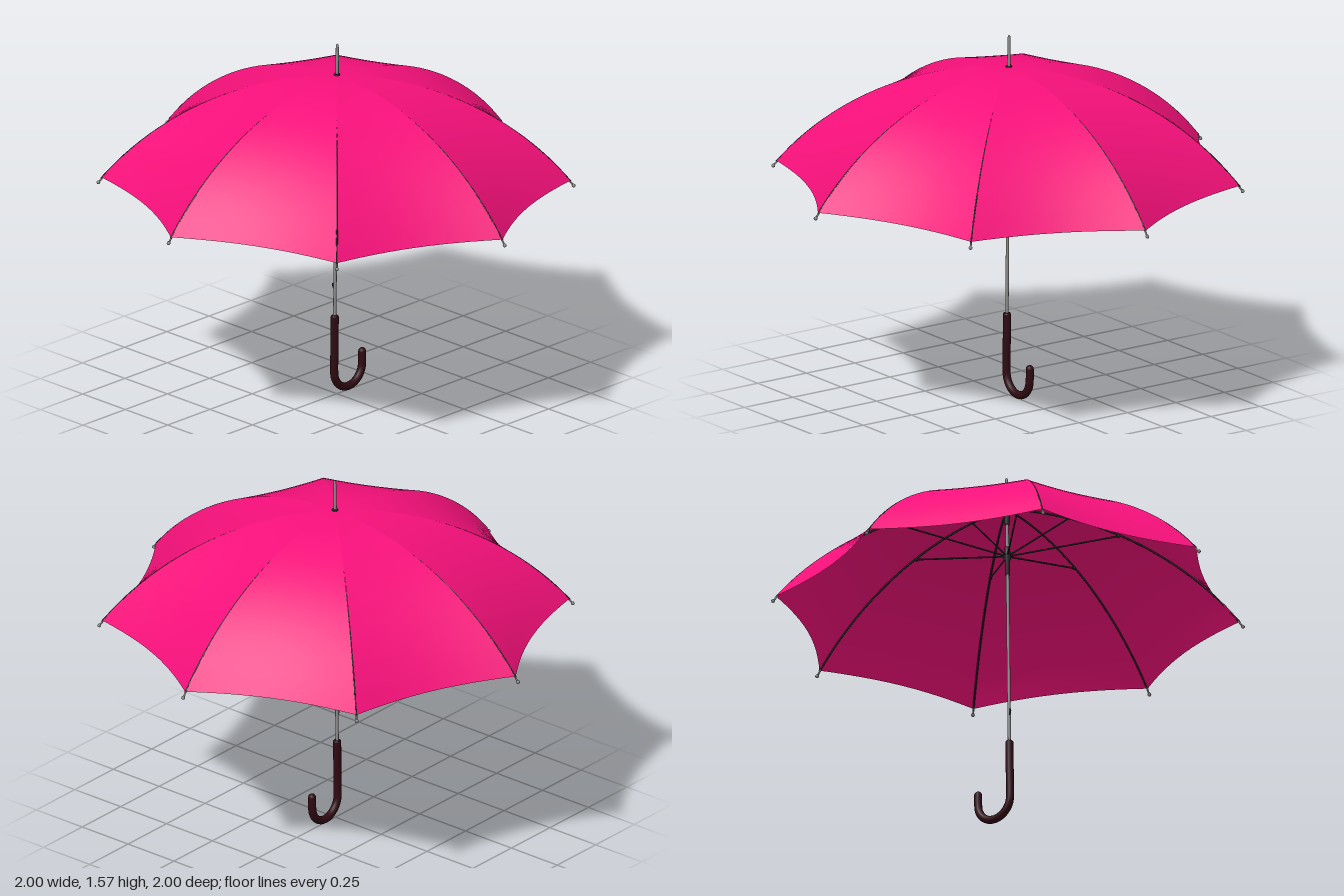
import * as THREE from 'three';

const RIBS = 8, RIM = 0.98, APEX = 1.43, ARC = 1.265;

// Height of the domed rib arc at a given radius
const domeY = r => APEX - ARC + Math.sqrt(ARC * ARC - r * r);

const mat = (color, side = THREE.FrontSide) => new THREE.MeshStandardMaterial({ color, side });

function add(parent, name, geometry, material, x = 0, y = 0, z = 0) {
  const mesh = new THREE.Mesh(geometry, material);
  mesh.name = name;
  mesh.position.set(x, y, z);
  parent.add(mesh);
  return mesh;
}

// Thin straight rod between two points
function rod(parent, name, a, b, radius, material) {
  return add(parent, name, new THREE.TubeGeometry(new THREE.LineCurve3(a, b), 1, radius, 6), material);
}

// One fabric panel between two ribs, drawn inwards along its middle
function panelGeometry() {
  const g = new THREE.PlaneGeometry(1, 1, 12, 24), p = g.attributes.position;
  const step = Math.PI * 2 / RIBS;
  for (let i = 0; i < p.count; i++) {
    const s = p.getX(i) + 0.5, t = 0.008 + 0.992 * (p.getY(i) + 0.5);
    const r = t * RIM, pull = 1 - 0.05 * 4 * s * (1 - s) * t;
    const x = r * pull * (1 - s + s * Math.cos(step));
    const z = r * pull * s * Math.sin(step);
    p.setXYZ(i, x, domeY(r), z);
  }
  g.computeVertexNormals();
  return g;
}

export function createModel() {
  const model = new THREE.Group();
  model.name = 'umbrella';
  const fabric = mat(0xf5107a, THREE.DoubleSide);
  const steel = mat(0x8a8a8a), dark = mat(0x262626), wood = mat(0x2e0a12);

  // The whole umbrella leans very slightly backwards
  const body = new THREE.Group();
  body.name = 'body';
  body.rotation.x = -0.0125;
  body.position.z = 0.0165;
  model.add(body);

  // Canopy, ribs, stretchers and rib tips
  const panel = panelGeometry();
  const ribPoints = [];
  for (let i = 0; i <= 12; i++) {
    const r = 0.012 + (RIM - 0.012) * i / 12;
    ribPoints.push(new THREE.Vector3(r, domeY(r) - 0.004, 0));
  }
  const ribGeo = new THREE.TubeGeometry(new THREE.CatmullRomCurve3(ribPoints), 24, 0.004, 6);
  for (let i = 0; i < RIBS; i++) {
    const sector = new THREE.Group();
    sector.name = 'canopySector';
    sector.rotation.y = -i * Math.PI * 2 / RIBS;
    body.add(sector);
    add(sector, 'canopyPanel', panel, fabric);
    add(sector, 'rib', ribGeo, dark);
    const joint = new THREE.Vector3(0.47, domeY(0.47) - 0.01, 0);
    rod(sector, 'stretcher', new THREE.Vector3(0.012, 1.21, 0), joint, 0.0035, dark);
    add(sector, 'stretcherJoint', new THREE.SphereGeometry(0.007, 8, 6), dark, joint.x, joint.y, 0);
    rod(sector, 'ribTip', new THREE.Vector3(0.972, 0.967, 0), new THREE.Vector3(0.991, 0.943, 0), 0.004, steel);
    add(sector, 'ribTipBall', new THREE.SphereGeometry(0.008, 10, 8), steel, 0.992, 0.942, 0);
  }

  // Shaft with the spike above the canopy
  add(body, 'shaft', new THREE.CylinderGeometry(0.007, 0.007, 1.1, 16), steel, 0, 0.88, 0);
  const spike = [[0, 1.42], [0.0075, 1.42], [0.0065, 1.55], [0.005, 1.565], [0, 1.57]];
  add(body, 'spike', new THREE.LatheGeometry(spike.map(q => new THREE.Vector2(...q)), 16), steel);
  add(body, 'topCap', new THREE.CylinderGeometry(0.012, 0.015, 0.012, 16), dark, 0, APEX, 0);

  // Sliding runner and the upper hub
  const runner = [[0, 1.12], [0.011, 1.12], [0.011, 1.19], [0.016, 1.195], [0.016, 1.225], [0.011, 1.23], [0.011, 1.25], [0, 1.25]];
  add(body, 'runner', new THREE.LatheGeometry(runner.map(q => new THREE.Vector2(...q)), 16), dark);
  add(body, 'hub', new THREE.CylinderGeometry(0.015, 0.011, 0.07, 16), dark, 0, 1.388, 0);

  // Catch that holds the runner when closed
  const catchShape = new THREE.Shape([[0, 0.46], [0.013, 0.492], [0.011, 0.5], [0, 0.5]].map(q => new THREE.Vector2(...q)));
  const latch = add(body, 'catch', new THREE.ExtrudeGeometry(catchShape, { depth: 0.004, bevelEnabled: false }), dark, -0.002, 0, 0);
  latch.rotation.y = -Math.PI / 2;

  // Crook handle, bending towards the back
  const hook = 0.0825, low = 0.0995;
  const path = new THREE.CurvePath();
  const pts = [new THREE.Vector3(0, 0.35, 0), new THREE.Vector3(0, 0.22, 0)];
  for (let i = 0; i <= 12; i++) {
    const a = Math.PI * i / 12;
    pts.push(new THREE.Vector3(0, low - hook * Math.sin(a), -hook + hook * Math.cos(a)));
  }
  pts.push(new THREE.Vector3(0, 0.15, -2 * hook));
  const curve = new THREE.CatmullRomCurve3(pts, false, 'centripetal');
  add(body, 'handle', new THREE.TubeGeometry(curve, 64, 0.017, 16), wood);
  add(body, 'handleEnd', new THREE.SphereGeometry(0.017, 16, 10), wood, 0, 0.15, -2 * hook);
  add(body, 'handleCollar', new THREE.CylinderGeometry(0.013, 0.017, 0.006, 16), wood, 0, 0.352, 0);

  return model;
}
